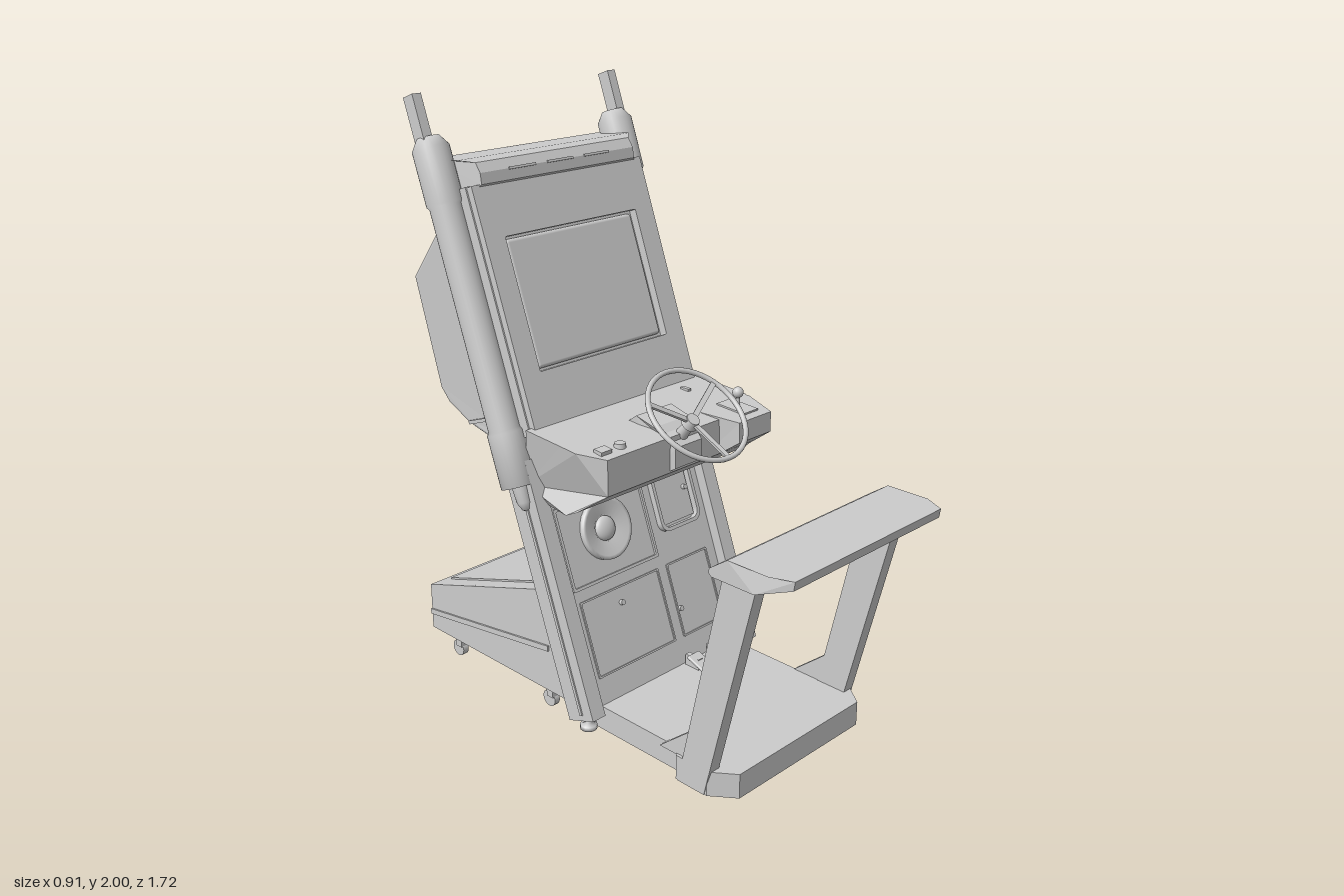
import * as THREE from 'three';
import { RoundedBoxGeometry } from 'three/addons/geometries/RoundedBoxGeometry.js';

const material = new THREE.MeshStandardMaterial({ color: 0xcccccc, side: THREE.DoubleSide });
const SIDES = [-1, 1];

export function createModel() {
  const model = new THREE.Group();
  model.name = 'sitDownDrivingCabinet';

  function add(parent, name, geometry, x = 0, y = 0, z = 0, rx = 0) {
    const mesh = new THREE.Mesh(geometry, material);
    mesh.name = name;
    mesh.position.set(x, y, z);
    mesh.rotation.x = rx;
    parent.add(mesh);
    return mesh;
  }
  const box = (w, h, d) => new THREE.BoxGeometry(w, h, d);
  const cyl = (r1, r2, h, n = 24) => new THREE.CylinderGeometry(r1, r2, h, n);
  const lathe = (pts, n = 28) => new THREE.LatheGeometry(pts.map(p => new THREE.Vector2(...p)), n);
  // Side profile given as [z, y], extruded across x and centred
  function profile(points, width, bevel = 0) {
    const shape = new THREE.Shape(points.map(p => new THREE.Vector2(...p)));
    const g = new THREE.ExtrudeGeometry(shape, {
      depth: width - 2 * bevel, bevelEnabled: bevel > 0, bevelSize: bevel,
      bevelThickness: bevel, bevelOffset: -bevel, bevelSegments: 3
    });
    return g.translate(0, 0, -(width - 2 * bevel) / 2).rotateY(-Math.PI / 2);
  }
  // Move x by a rule of (x, y, z)
  function reshape(g, rule) {
    const p = g.attributes.position;
    for (let i = 0; i < p.count; i++) p.setX(i, rule(p.getX(i), p.getY(i), p.getZ(i)));
    g.computeVertexNormals();
    return g;
  }
  function roundRect(path, w, h, r) {
    const a = w / 2 - r, b = h / 2 - r;
    path.absarc(a, b, r, 0, Math.PI / 2).absarc(-a, b, r, Math.PI / 2, Math.PI);
    path.absarc(-a, -b, r, Math.PI, Math.PI * 1.5).absarc(a, -b, r, Math.PI * 1.5, Math.PI * 2);
    path.closePath();
    return path;
  }
  // Rectangular ring facing +z
  function frame(w, h, iw, ih, depth, r = 0.005) {
    const s = roundRect(new THREE.Shape(), w, h, r);
    s.holes.push(roundRect(new THREE.Path(), iw, ih, r * 0.8));
    return new THREE.ExtrudeGeometry(s, { depth, bevelEnabled: false, curveSegments: 6 });
  }

  // Floor platform with chamfered front corners
  const floor = new THREE.Shape([[-0.315, 0.1], [-0.315, -0.4], [-0.35, -0.42], [-0.35, -0.55], [-0.29, -0.63],
    [0.29, -0.63], [0.35, -0.55], [0.35, -0.42], [0.315, -0.4], [0.315, 0.1]].map(p => new THREE.Vector2(...p)));
  add(model, 'floorPlatform', new THREE.ExtrudeGeometry(floor, { depth: 0.085, bevelEnabled: false }).rotateX(-Math.PI / 2));

  // Back rest bar carried on two raked legs
  add(model, 'backRestBar', reshape(profile([[0.57, 0.77], [0.58, 0.76], [0.74, 0.76], [0.855, 0.8], [0.86, 0.83],
    [0.79, 0.832], [0.64, 0.832], [0.572, 0.785]], 0.754), (x, y, z) => z > 0.8 ? Math.sign(x) * 0.345 : x));
  add(model, 'crossRail', cyl(0.01, 0.01, 0.63, 12).rotateZ(Math.PI / 2), 0, 0.695, 0.65);
  for (const s of SIDES) {
    add(model, 'backRestLeg', profile([[0.43, 0], [0.54, 0], [0.73, 0.77], [0.605, 0.77]], 0.045), s * 0.33);
    add(model, 'legGusset', profile([[0.34, 0.08], [0.5, 0.08], [0.475, 0.19]], 0.03), s * 0.325);
  }

  // Hollow rear base, open underneath
  const rear = [[-0.02, 0.085], [-0.17, 0.45], [-0.775, 0.255], [-0.775, 0.085]];
  const slope = Math.atan2(0.195, 0.605);
  for (const s of SIDES) {
    add(model, 'rearBaseSide', profile(rear, 0.02), s * 0.36);
    add(model, 'sideRidge', profile([[-0.14, 0.255], [-0.14, 0.235], [-0.775, 0.14], [-0.775, 0.16]], 0.012), s * 0.37);
    add(model, 'bottomLip', box(0.05, 0.012, 0.68), s * 0.345, 0.091, -0.43);
  }
  add(model, 'rearBaseTop', profile([[-0.17, 0.45], [-0.775, 0.255], [-0.775, 0.235], [-0.17, 0.43]], 0.72));
  add(model, 'rearBaseBack', box(0.72, 0.17, 0.02), 0, 0.17, -0.765);
  add(model, 'bottomLipBack', box(0.7, 0.012, 0.05), 0, 0.091, -0.745);
  add(model, 'topHatch', box(0.62, 0.012, 0.54), 0, 0.352, -0.475, -slope);
  add(model, 'powerPlate', box(0.13, 0.08, 0.006), 0.25, 0.18, -0.777);
  for (let i = 0; i < 3; i++) add(model, 'ventSlat', box(0.12, 0.009, 0.008), 0.02, 0.18 + i * 0.022, -0.777);
  add(model, 'rearHandle', box(0.22, 0.025, 0.012), 0.03, 0.135, -0.777);

  // Casters and levelling feet
  for (const s of SIDES) {
    for (const z of [-0.18, -0.67]) {
      add(model, 'casterWheel', cyl(0.029, 0.029, 0.022, 20).rotateZ(Math.PI / 2), s * 0.33, 0.029, z);
      add(model, 'casterFork', box(0.034, 0.05, 0.03), s * 0.33, 0.065, z + 0.01);
    }
    add(model, 'levellingFoot', lathe([[0, 0.03], [0.028, 0.03], [0.028, 0.045], [0.01, 0.05], [0.01, 0.09]], 16), s * 0.373, 0, 0.05);
  }

  // Raked upper structure: local y runs up the posts, local z is their front
  const upper = new THREE.Group();
  upper.name = 'rakedUpperStructure';
  upper.position.set(0, 0.08, 0.035);
  upper.rotation.x = -Math.PI / 9;
  model.add(upper);
  for (const s of SIDES) {
    add(upper, 'post', box(0.055, 0.87, 0.12), s * 0.37, 0.415, 0);
    add(upper, 'postTrim', box(0.006, 0.78, 0.012), s * 0.399, 0.39, 0.01);
    add(upper, 'postTube', lathe([[0, 0.775], [0.06, 0.775], [0.06, 0.95], [0.053, 0.96], [0.053, 1.68],
      [0.06, 1.69], [0.06, 1.865], [0.036, 1.9], [0, 1.9]]), s * 0.396);
    add(upper, 'tubeTip', lathe([[0, 0.69], [0.012, 0.695], [0.024, 0.72], [0.028, 0.78]], 16), s * 0.402, 0, 0.01);
    add(upper, 'topRod', box(0.034, 0.2, 0.05), s * 0.414, 1.934, 0);
  }
  add(upper, 'frontPanel', box(0.69, 0.93, 0.05), 0, 0.465, -0.005);
  add(upper, 'backPanel', box(0.68, 0.9, 0.03), 0, 1.25, -0.045);

  // Speaker panel, coin door and service door
  const F = 0.02, up = y => (y - 0.087) / 0.94;
  add(upper, 'speakerPanelFrame', frame(0.39, 0.28, 0.37, 0.26, 0.008), -0.12, up(0.58), F);
  add(upper, 'speakerCone', lathe([[0.105, 0], [0.105, 0.018], [0.093, 0.018], [0.045, 0.004]]).rotateX(Math.PI / 2), -0.12, up(0.6), F);
  add(upper, 'speakerDome', new THREE.SphereGeometry(0.042, 24, 8, 0, Math.PI * 2, 0, Math.PI / 2)
    .scale(1, 0.5, 1).rotateX(Math.PI / 2), -0.12, up(0.6), F + 0.003);
  add(upper, 'coinDoorFrame', frame(0.19, 0.245, 0.165, 0.22, 0.022, 0.035), 0.205, up(0.628), F);
  add(upper, 'coinDoor', box(0.15, 0.2, 0.008), 0.205, up(0.628), F + 0.004);
  add(upper, 'coinDoorLock', cyl(0.009, 0.009, 0.016, 12).rotateX(Math.PI / 2), 0.26, up(0.63), F + 0.014);
  for (const [x, w] of [[-0.12, 0.36], [0.2, 0.2]])
    add(upper, 'lowerPanelFrame', frame(w, 0.26, w - 0.012, 0.248, 0.005), x, up(0.29), F);
  for (const [x, y] of [[-0.13, 0.36], [0.115, 0.26]])
    add(upper, 'panelLock', cyl(0.009, 0.009, 0.014, 12).rotateX(Math.PI / 2), x, up(y), F + 0.006);

  // Screen bezel with recessed glass
  add(upper, 'bezelBody', box(0.72, 0.77, 0.13), 0, 1.325, 0.015);
  const bezel = add(upper, 'bezelFrame', frame(0.73, 0.78, 0.57, 0.436, 0.03), 0, 0, 0.08);
  bezel.geometry.translate(0, 1.327, 0);
  add(upper, 'screenGlass', new RoundedBoxGeometry(0.55, 0.42, 0.03, 3, 0.012), 0, 1.327, 0.08);
  for (const s of SIDES) add(upper, 'bezelEdge', box(0.02, 0.8, 0.13), s * 0.36, 1.32, 0.02);

  // Header hood, its front corners swept back
  add(upper, 'headerHood', reshape(profile([[0.118, 1.715], [0.125, 1.75], [0.115, 1.785], [0.08, 1.805], [-0.065, 1.842],
    [-0.065, 1.68], [0.06, 1.68]], 0.74), (x, y, z) => z > 0.09 ? Math.sign(x) * 0.33 : x));
  for (const x of [-0.16, 0, 0.16]) add(upper, 'headerSlot', box(0.11, 0.008, 0.008), x, 1.75, 0.125);
  add(upper, 'headerHook', box(0.1, 0.012, 0.03), 0, 1.835, -0.075);

  // Tapered monitor housing
  add(upper, 'monitorHousing', reshape(profile([[-0.04, 0.9], [-0.04, 1.648], [-0.14, 1.648], [-0.403, 1.51],
    [-0.425, 1.12], [-0.395, 1.064], [-0.3, 0.985], [-0.18, 0.922], [-0.072, 0.898]], 0.67, 0.015),
    (x, y, z) => x * (1 + 0.3 * Math.min(0, z + 0.1))));
  add(upper, 'monitorFlange', box(0.66, 0.05, 0.1), 0, 1.67, -0.095);
  add(upper, 'housingRidge', box(0.52, 0.012, 0.012), 0, 1.09, -0.41);
  for (const s of SIDES) add(upper, 'housingVent', box(0.012, 0.012, 0.2), s * 0.328, 0.99, -0.17);

  // Control panel
  add(model, 'controlPanel', reshape(profile([[-0.2, 1.0], [-0.04, 0.99], [0.03, 0.985], [0.115, 0.972], [0.115, 0.852],
    [0.03, 0.79], [-0.02, 0.765], [-0.14, 0.75], [-0.25, 0.79]], 0.78),
    (x, y, z) => Math.sign(x) * (z > 0.1 ? 0.335 : z < -0.1 && y < 0.8 ? 0.35 : 0.388)));
  add(model, 'shifterPod', reshape(profile([[0, 0.983], [0.05, 0.983], [0.19, 0.975], [0.19, 0.905], [0, 0.772]], 0.2),
    (x, y, z) => x > 0 ? (z > 0.1 ? 0.335 : 0.386) : (z > 0.1 ? 0.18 : 0.15)));
  add(model, 'shifterPlate', box(0.07, 0.008, 0.12), 0.275, 0.982, 0.095, 0.05);
  add(model, 'shifterLever', cyl(0.006, 0.008, 0.05, 10), 0.277, 1.005, 0.095);
  add(model, 'shifterKnob', new THREE.SphereGeometry(0.019, 16, 12), 0.277, 1.033, 0.095);
  add(model, 'squareButton', box(0.045, 0.015, 0.035), -0.312, 0.983, 0.07, 0.1);
  add(model, 'roundButton', cyl(0.018, 0.02, 0.016, 16), -0.24, 0.984, 0.07);
  add(model, 'keySwitch', box(0.015, 0.015, 0.035), 0.255, 0.995, -0.12);
  add(model, 'columnHousing', reshape(profile([[-0.06, 0.985], [-0.02, 1.015], [0.06, 0.995], [0.135, 0.94], [0.135, 0.87],
    [0.05, 0.82]], 0.16), (x, y, z) => z > 0.1 ? x * 0.75 : x));

  // Steering wheel with dished spokes
  const wheel = new THREE.Group();
  wheel.name = 'steeringWheel';
  wheel.position.set(0, 1.047, 0.171);
  wheel.rotation.x = -0.895;
  model.add(wheel);
  add(wheel, 'wheelRim', new THREE.TorusGeometry(0.173, 0.009, 10, 48));
  add(wheel, 'wheelHub', cyl(0.022, 0.028, 0.03, 20).rotateX(Math.PI / 2), 0, 0, -0.04);
  add(wheel, 'steeringColumn', cyl(0.016, 0.024, 0.1, 16).rotateX(Math.PI / 2), 0, 0, -0.09);
  for (const deg of [30, 150, 270]) {
    const spoke = add(wheel, 'wheelSpoke', box(0.176, 0.018, 0.008).translate(0.088, 0, 0).rotateY(-0.22), 0, 0, -0.038);
    spoke.rotation.z = THREE.MathUtils.degToRad(deg);
  }

  // Pedals
  for (const [x, w] of [[0.083, 0.058], [0.187, 0.064]]) {
    add(model, 'pedal', new RoundedBoxGeometry(w, 0.012, 0.1, 2, 0.005), x, 0.112, 0.13, 0.35);
    add(model, 'pedalArm', box(0.02, 0.05, 0.06), x, 0.1, 0.09);
  }
  return model;
}
